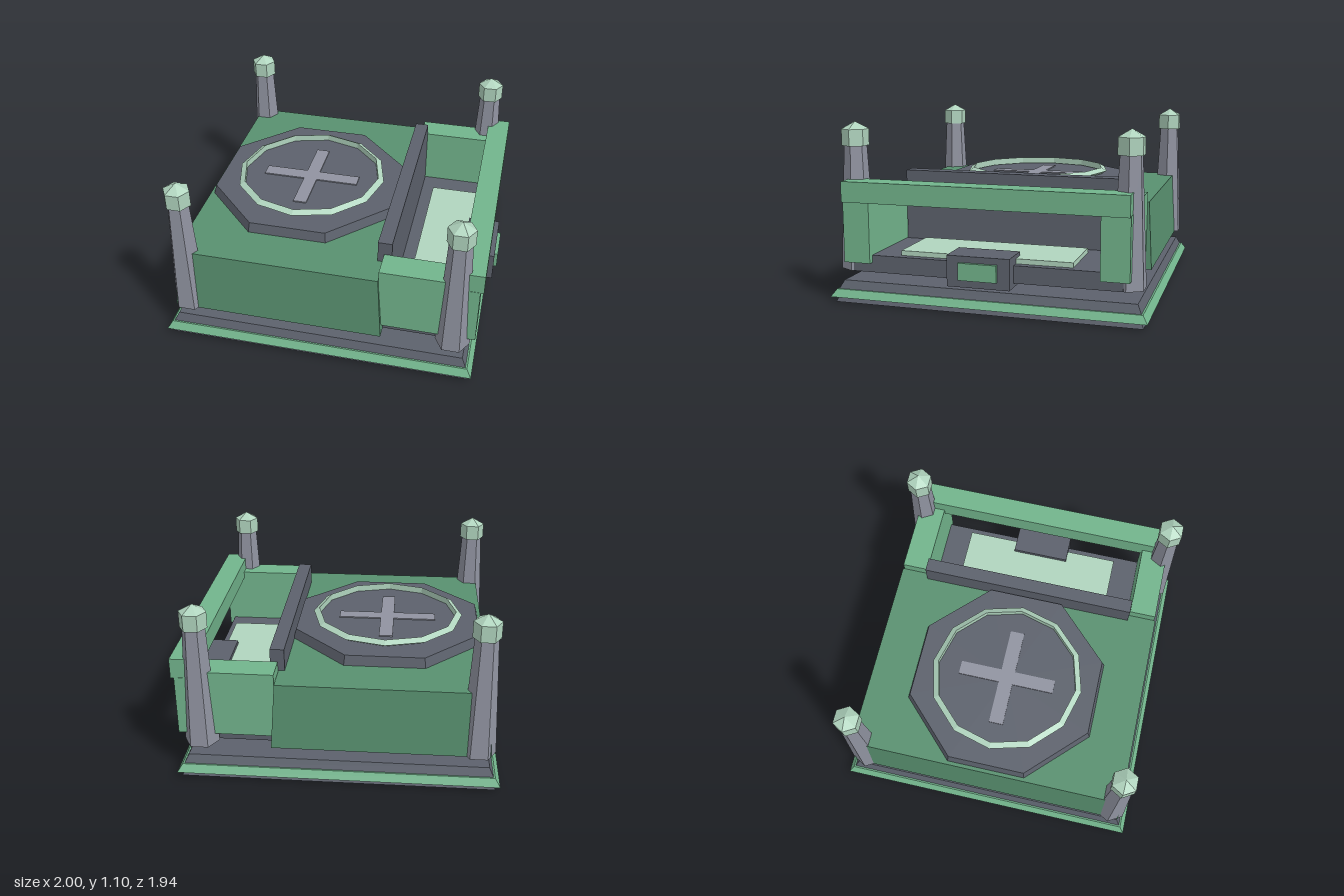
import * as THREE from 'three';

export function createModel() {
  const mat = (name, color) => {
    const m = new THREE.MeshStandardMaterial({ color, flatShading: true });
    m.name = name;
    return m;
  };
  const darkGreen = mat('dark green', 0x58906f);
  const green = mat('green', 0x72b48c);
  const pale = mat('pale green', 0xb0d4be);
  const dark = mat('dark grey', 0x5c616c);
  const grey = mat('light grey', 0x9093a0);

  const model = new THREE.Group();
  model.name = 'landingPadBuilding';
  const add = (name, geometry, material, x = 0, y = 0, z = 0, parent = model) => {
    const mesh = new THREE.Mesh(geometry, material);
    mesh.name = name;
    mesh.position.set(x, y, z);
    parent.add(mesh);
    return mesh;
  };

  // Box given by its limits on each axis
  const box = (name, material, [x0, x1], [y0, y1], [z0, z1]) =>
    add(name, new THREE.BoxGeometry(x1 - x0, y1 - y0, z1 - z0), material,
      (x0 + x1) / 2, (y0 + y1) / 2, (z0 + z1) / 2);

  // Box whose top has different half sizes from its bottom
  const taper = (name, material, cx, [y0, y1], [bx, bz], [tx, tz]) => {
    const g = new THREE.BoxGeometry(2, y1 - y0, 2);
    const p = g.attributes.position;
    for (let i = 0; i < p.count; i++) {
      const top = p.getY(i) > 0;
      p.setX(i, p.getX(i) * (top ? tx : bx));
      p.setZ(i, p.getZ(i) * (top ? tz : bz));
    }
    g.computeVertexNormals();
    return add(name, g, material, cx, (y0 + y1) / 2, 0);
  };

  // Foundation with a flared green trim
  const cx = -0.03;
  taper('foundationBottom', dark, cx, [0, 0.035], [0.945, 0.945], [0.93, 0.93]);
  taper('foundationTrim', green, cx, [0.035, 0.08], [0.97, 0.97], [0.94, 0.94]);
  taper('foundationTop', dark, cx, [0.08, 0.13], [0.93, 0.93], [0.905, 0.905]);

  // Main hall with gently sloping walls
  taper('hall', darkGreen, -0.285, [0.2, 0.615], [0.655, 0.905], [0.628, 0.878]);

  // Octagonal landing pad with ring and cross
  const padX = -0.29;
  const pad = new THREE.CylinderGeometry(0.632, 0.65, 0.065, 8);
  pad.rotateY(Math.PI / 8);
  add('landingPad', pad, dark, padX, 0.645, 0);
  const ring = new THREE.TorusGeometry(0.465, 0.025, 3, 12);
  ring.rotateX(-Math.PI / 2);
  add('padRing', ring, pale, padX + 0.005, 0.703, 0);
  box('crossBarAcross', grey, [-0.6, 0.03], [0.676, 0.685], [-0.045, 0.045]);
  for (const s of [-1, 1]) {
    const z = [0.045 * s, 0.31 * s].sort((a, b) => a - b);
    box('crossBarArm', grey, [-0.328, -0.242], [0.676, 0.685], z);
  }

  // Open bay: platform, pale floor, back wall, side blocks, posts and beam
  box('bayPlatform', dark, [0.3, 0.9], [0.2, 0.305], [-0.825, 0.825]);
  box('bayFloor', pale, [0.475, 0.855], [0.305, 0.335], [-0.53, 0.53]);
  box('bayBackWall', dark, [0.305, 0.392], [0.25, 0.755], [-0.695, 0.695]);
  for (const s of [-1, 1]) {
    const z = [0.7 * s, 0.868 * s].sort((a, b) => a - b);
    box('baySideBlock', green, [0.345, 0.82], [0.26, 0.676], z);
    box('bayPost', green, [0.82, 0.936], [0.26, 0.635], z);
  }
  box('bayBeam', green, [0.812, 0.956], [0.63, 0.755], [-0.866, 0.866]);

  // Console box with a screen at the bay edge
  box('console', dark, [0.775, 0.98], [0.175, 0.36], [-0.19, 0.19]);
  box('consoleScreen', green, [0.975, 1.0], [0.22, 0.322], [-0.116, 0.116]);

  // Six-sided corner towers with capped tops; one vertex points along x
  const hex = (top, bottom, h) => {
    const g = new THREE.CylinderGeometry(top, bottom, h, 6);
    g.rotateY(Math.PI / 6);
    return g;
  };
  for (const x of [-0.865, 0.8]) {
    for (const z of [-0.84, 0.84]) {
      const tower = new THREE.Group();
      tower.name = 'cornerTower';
      tower.position.set(x, 0, z);
      model.add(tower);
      add('towerShaft', hex(0.068, 0.106, 0.76), grey, 0, 0.58, 0, tower);
      add('towerCap', hex(0.082, 0.082, 0.1), pale, 0, 1.005, 0, tower);
      const roof = new THREE.ConeGeometry(0.082, 0.045, 6);
      roof.rotateY(Math.PI / 6);
      add('towerRoof', roof, pale, 0, 1.0775, 0, tower);
    }
  }
  return model;
}
